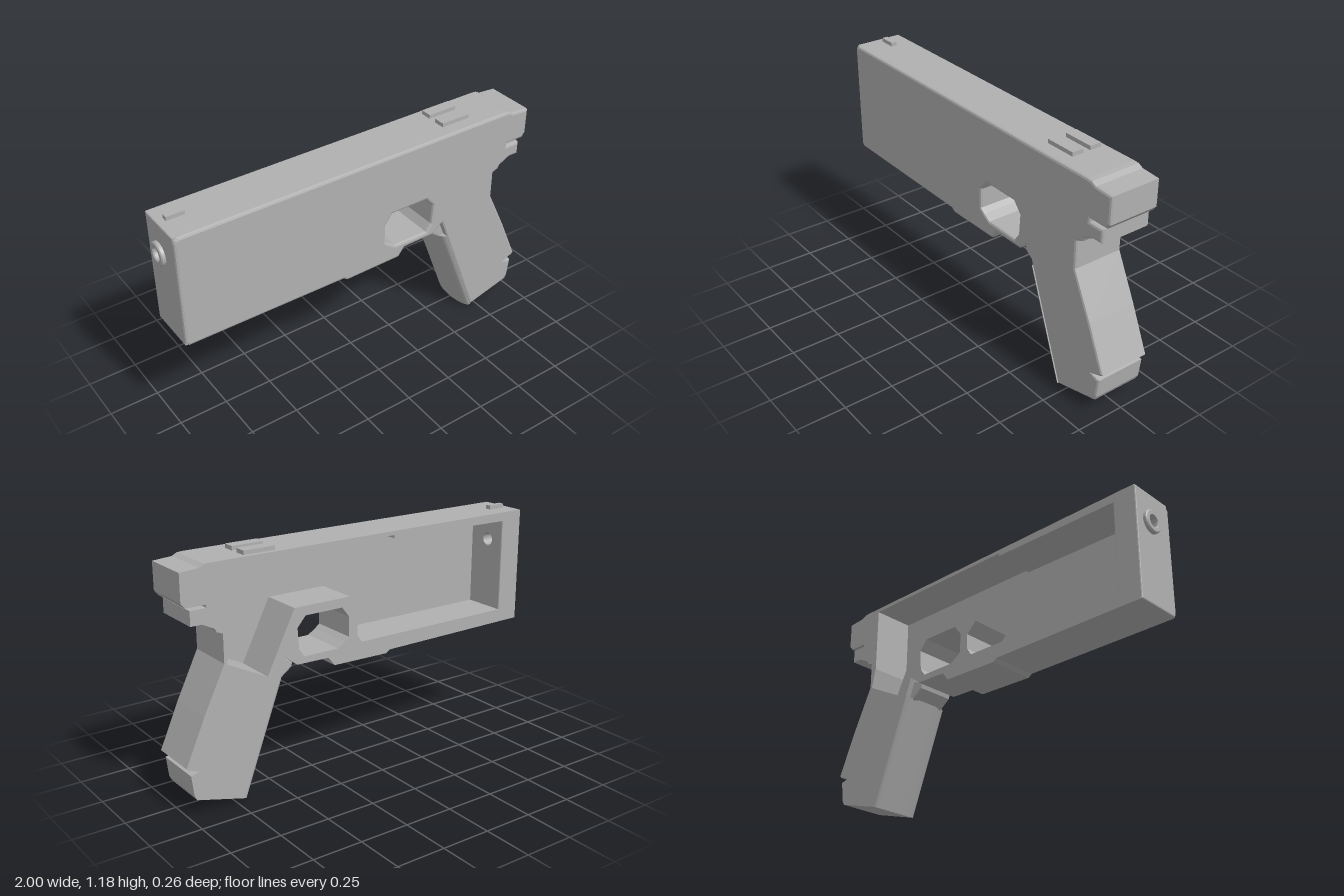
import * as THREE from 'three';
import { toCreasedNormals } from 'three/addons/utils/BufferGeometryUtils.js';

const v2 = pts => pts.map(([x, y]) => new THREE.Vector2(x, y));
const BACK = -0.13, FRONT = 0.13, FLOOR = 0.09, BEVEL = 0.012;

// Extrude a profile (with optional holes) from z0 to z1, with an inset bevel.
function slab(pts, holes, z0, z1, bevel = 0) {
  const shape = new THREE.Shape(v2(pts));
  for (const h of holes) shape.holes.push(h.isPath ? h : new THREE.Path(v2(h)));
  const geo = new THREE.ExtrudeGeometry(shape, {
    depth: z1 - z0 - 2 * bevel, bevelEnabled: bevel > 0, bevelSize: bevel,
    bevelThickness: bevel, bevelOffset: -bevel, bevelSegments: 2, curveSegments: 24,
  });
  return geo.translate(0, 0, z0 + bevel);
}

function circlePath(x, y, r) {
  const p = new THREE.Path();
  p.absarc(x, y, r, 0, Math.PI * 2, true);
  p.isPath = true;
  return p;
}

export function createModel() {
  const group = new THREE.Group();
  const grey = new THREE.MeshStandardMaterial({ color: 0xb0b0b0 });
  grey.name = 'plain grey';
  const add = (name, geo) => {
    const mesh = new THREE.Mesh(geo, grey);
    mesh.name = name;
    group.add(mesh);
    return mesh;
  };

  // Underside, grip, rear and top of the silhouette, from the muzzle round
  const outline = [
    [-0.13, 0.575], [-0.11, 0.56], [0.2, 0.565], [0.235, 0.61], [0.41, 0.613], [0.47, 0.66],
    [0.71, 0.02], [0.955, 0.085], [0.968, 0.11], [0.98, 0.21], [0.935, 0.222],
    [0.985, 0.238], [1.0, 0.25], [0.9, 0.475], [0.79, 0.7], [0.79, 0.84],
    [0.82, 0.852], [0.83, 0.87], [0.89, 0.9], [0.945, 0.9], [0.945, 0.97],
    [0.865, 0.97], [0.865, 0.985], [0.965, 0.985], [0.985, 1.01], [0.985, 1.143],
    [0.89, 1.15], [0.865, 1.163], [0.84, 1.165],
  ];
  const triggerHole = [
    [0.115, 0.69], [0.115, 0.79], [0.155, 0.842], [0.36, 0.842], [0.405, 0.79],
    [0.398, 0.685], [0.37, 0.645], [0.18, 0.645], [0.14, 0.67],
  ];

  // Front cover with softened edge
  const cover = [[-0.98, 0.595], [-0.965, 0.58], ...outline, [-0.96, 1.165], [-0.975, 1.155], [-0.98, 1.14]];
  add('frontCover', slab(cover, [triggerHole], FLOOR, FRONT, BEVEL));

  // Rim, trigger block and grip around the open pocket at the back
  const pocketWall = [
    [-0.87, 1.12], [-0.15, 1.13], [-0.15, 1.145], [0.755, 1.145], [0.755, 0.8], [0.778, 0.695],
    [0.57, 0.59], [0.42, 0.888], [0.11, 0.888], [0.01, 0.825], [0.067, 0.77],
    [0.067, 0.69], [0.04, 0.65], [-0.87, 0.647],
  ];
  const rim = [[-0.87, 0.58], ...outline, [-0.87, 1.165], ...pocketWall];
  add('backFrame', slab(rim, [triggerHole], BACK, FRONT - BEVEL));

  // Muzzle end wall, bored through
  const boreY = 1.007, boreZ = -0.025;
  const wall = slab(
    [[BEVEL - FRONT, 0.58], [-BACK, 0.58], [-BACK, 1.165], [BEVEL - FRONT, 1.165]],
    [circlePath(-boreZ, boreY, 0.03)], -0.98, -0.855, 0.006);
  add('muzzleWall', wall.rotateY(Math.PI / 2));

  // Barrel tip: a short ring with a chamfered lip
  const ring = new THREE.LatheGeometry(v2([
    [0.03, -0.02], [0.058, -0.02], [0.058, 0.015], [0.052, 0.02], [0.034, 0.02], [0.03, 0.014], [0.03, -0.02],
  ]), 32);
  const barrel = add('barrelTip', toCreasedNormals(ring, 0.5));
  barrel.rotation.z = Math.PI / 2;
  barrel.position.set(-0.98, boreY, boreZ);

  // Rounded strap down the leading edge of the grip
  const arc = [];
  for (let i = 0; i <= 16; i++) {
    const a = Math.PI * i / 16;
    arc.push([FRONT * Math.cos(a), 0.036 * Math.sin(a)]);
  }
  const down = new THREE.Vector3(0.24, -0.64, 0).normalize();
  const out = new THREE.Vector3(down.y, -down.x, 0);
  const strap = slab(arc, [], 0.1, 0.683);
  strap.applyMatrix4(new THREE.Matrix4()
    .makeBasis(new THREE.Vector3(0, 0, 1), out, down).setPosition(0.47, 0.66, 0));
  add('gripStrap', toCreasedNormals(strap, 0.5));

  // Web joining the trigger guard to the strap
  add('gripWeb', slab([[0.41, 0.63], [0.42, 0.595], [0.495, 0.54], [0.53, 0.535], [0.48, 0.66]],
    [], -0.1, 0.1, 0.01));

  // Sights on the top: [x0, x1, z0, z1]
  const sights = { frontSight: [-0.94, -0.85, -0.04, -0.01], rearSightOuter: [0.5, 0.66, -0.105, -0.045],
    rearSightInner: [0.5, 0.66, -0.005, 0.055] };
  for (const [name, [x0, x1, z0, z1]] of Object.entries(sights)) {
    add(name, new THREE.BoxGeometry(x1 - x0, 0.03, z1 - z0))
      .position.set((x0 + x1) / 2, 1.17, (z0 + z1) / 2);
  }
  return group;
}
